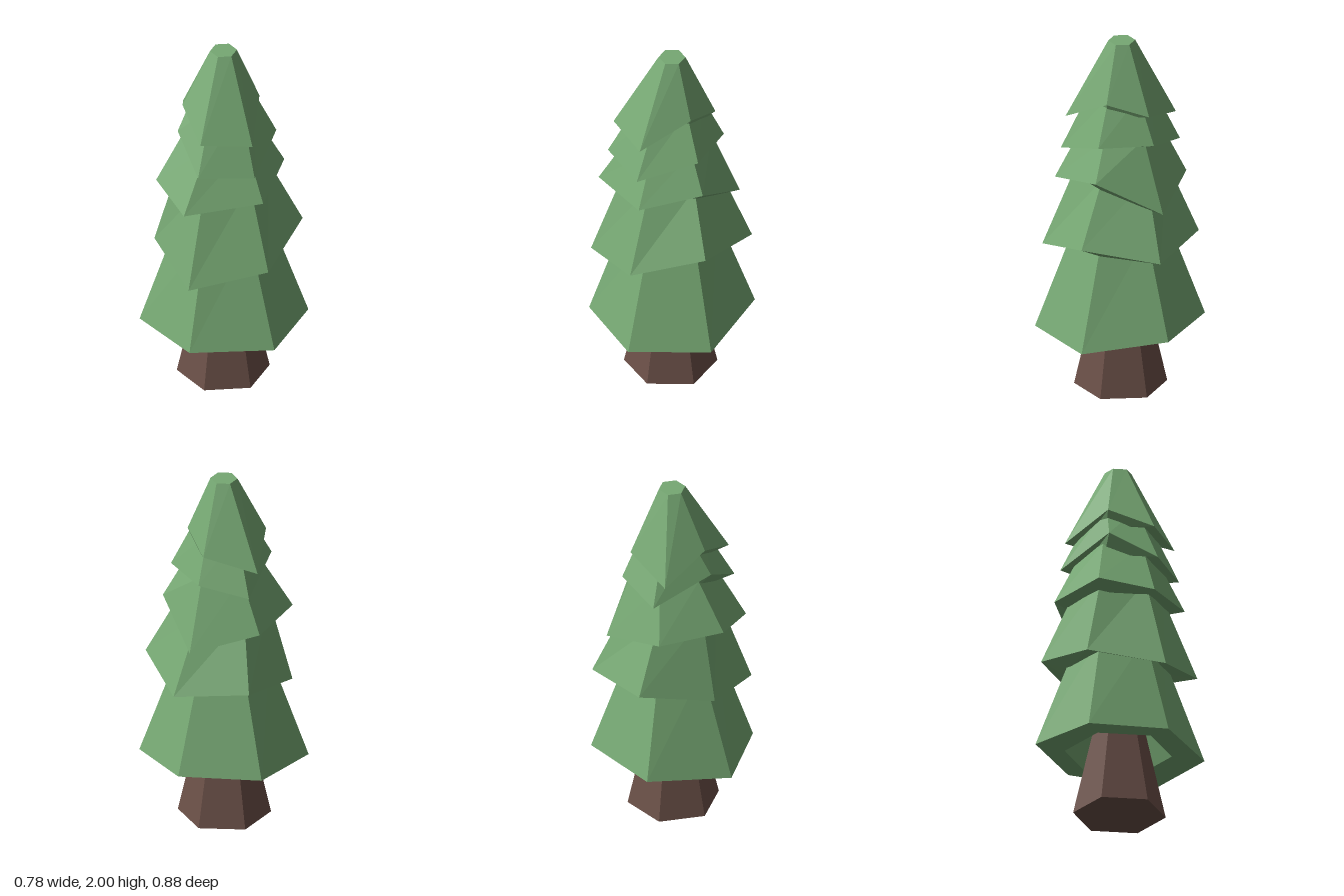
import * as THREE from 'three';

const SIDES = 6;

// Points of a hexagon with one corner facing +z
function hexRing(radius, y, cx = -0.01, cz = 0) {
  return Array.from({ length: SIDES }, (_, i) => {
    const a = (i * Math.PI * 2) / SIDES;
    return [cx + radius * Math.sin(a), y, cz + radius * Math.cos(a)];
  });
}

// Skin a stack of rings with flat faces, listed from the inside of the underside to the top
function loft(rings) {
  const pos = [];
  for (let r = 0; r < rings.length - 1; r++) {
    for (let i = 0; i < SIDES; i++) {
      const j = (i + 1) % SIDES;
      const a = rings[r][i], b = rings[r][j];
      const c = rings[r + 1][j], d = rings[r + 1][i];
      pos.push(...a, ...b, ...c, ...a, ...c, ...d);
    }
  }
  const geometry = new THREE.BufferGeometry();
  geometry.setAttribute('position', new THREE.Float32BufferAttribute(pos, 3));
  geometry.computeVertexNormals();
  return geometry;
}

// Rim corners run front, front left, back left, back, back right, front right
const TIERS = [
  {
    name: 'bottomBranches', top: [0.24, 0.95],
    rim: [[-0.01, 0.345, 0.44], [0.39, 0.345, 0.23], [0.39, 0.345, -0.21],
      [-0.01, 0.4, -0.44], [-0.395, 0.39, -0.22], [-0.39, 0.345, 0.24]],
  },
  {
    name: 'lowerBranches', top: [0.24, 1.28],
    rim: [[-0.02, 0.73, 0.43], [0.35, 0.82, 0.22], [0.37, 0.935, -0.18],
      [0.03, 0.86, -0.425], [-0.335, 0.9, -0.25], [-0.34, 0.82, 0.16]],
  },
  {
    name: 'middleBranches', top: [0.21, 1.5],
    rim: [[-0.065, 1.165, 0.39], [0.3, 1.215, 0.175], [0.27, 1.29, -0.165],
      [-0.03, 1.11, -0.36], [-0.33, 1.21, -0.14], [-0.305, 1.23, 0.215]],
  },
  {
    name: 'upperBranches', top: [0.16, 1.73],
    rim: [[-0.005, 1.39, 0.34], [0.255, 1.37, 0.185], [0.235, 1.48, -0.14],
      [-0.03, 1.48, -0.275], [-0.275, 1.42, -0.16], [-0.2, 1.54, 0.17]],
  },
  {
    name: 'treetop', top: [0.072, 2],
    rim: [[-0.005, 1.58, 0.31], [0.235, 1.555, 0.17], [0.155, 1.7, -0.1],
      [-0.03, 1.63, -0.23], [-0.29, 1.55, -0.1], [-0.185, 1.69, 0.14]],
  },
];

export function createModel() {
  const tree = new THREE.Group();
  tree.name = 'pineTree';

  const needles = new THREE.MeshStandardMaterial({
    color: 0x76a873, flatShading: true, side: THREE.DoubleSide,
  });
  const bark = new THREE.MeshStandardMaterial({ color: 0x6b5048, flatShading: true });

  // Tapered trunk running up inside the lowest branches
  const trunk = new THREE.Mesh(new THREE.CylinderGeometry(0.11, 0.248, 0.62, SIDES), bark);
  trunk.name = 'trunk';
  trunk.position.set(-0.008, 0.31, 0.007);
  tree.add(trunk);

  // Branch tiers: level underside with a hole, uneven rim, sloping wall, flat cap
  for (const { name, rim, top: [topRadius, topY] } of TIERS) {
    const meanY = rim.reduce((s, p) => s + p[1], 0) / SIDES;
    const meanRadius = rim.reduce((s, p) => s + Math.hypot(p[0], p[2]), 0) / SIDES;
    const tier = new THREE.Mesh(loft([
      hexRing(meanRadius * 0.64, meanY),
      rim,
      hexRing(topRadius, topY),
      hexRing(0, topY),
    ]), needles);
    tier.name = name;
    tree.add(tier);
  }

  return tree;
}
